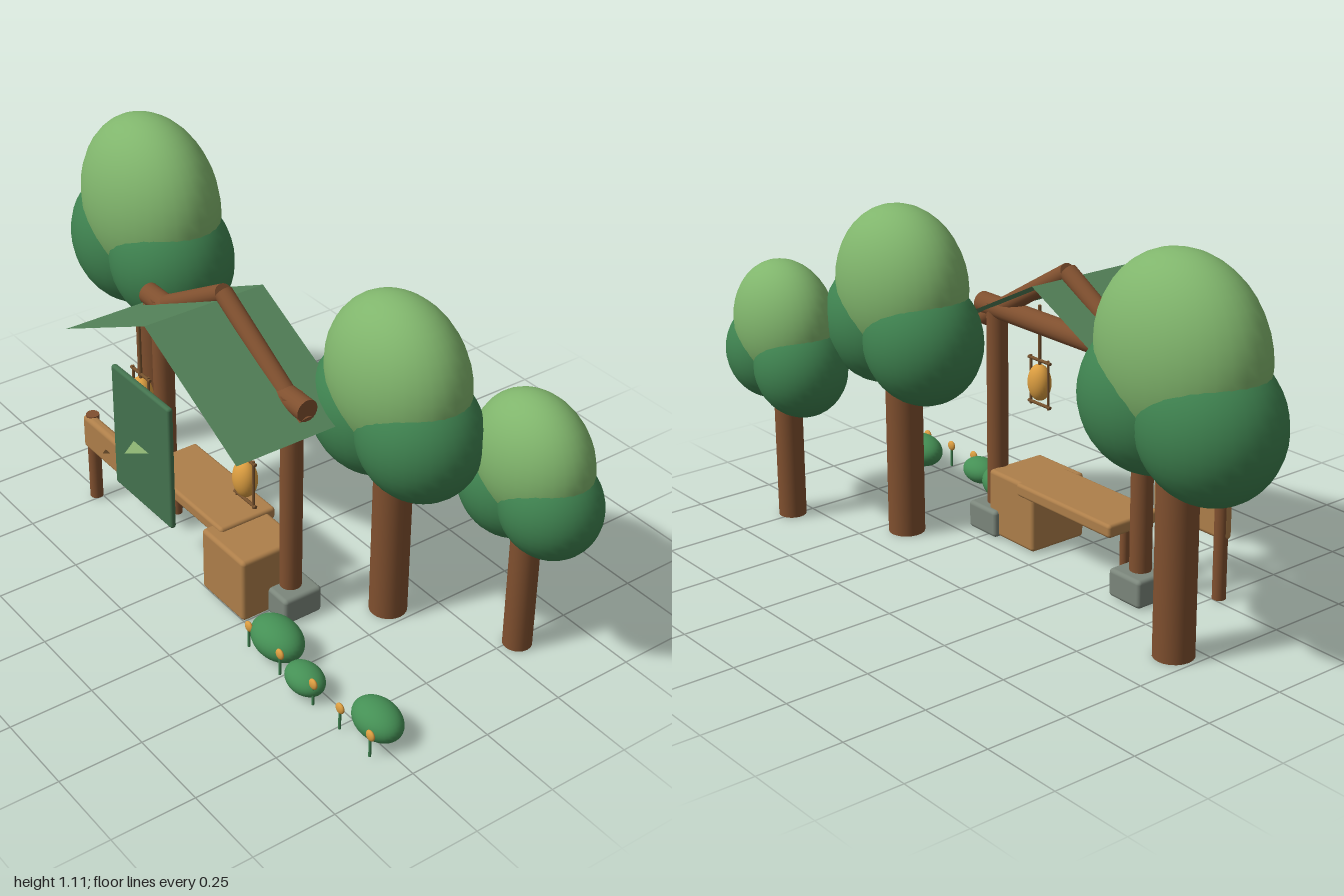
import * as THREE from 'three';
import { RoundedBoxGeometry } from 'three/addons/geometries/RoundedBoxGeometry.js';

const mat = (color, side = THREE.FrontSide) => new THREE.MeshStandardMaterial({ color, side });
const M = {
  bark: mat(0x80502f), leafLight: mat(0x80b56c), leafDark: mat(0x3f8350), bush: mat(0x459055),
  roof: mat(0x55845a, THREE.DoubleSide), banner: mat(0x44734f), emblem: mat(0x8fb573, THREE.DoubleSide),
  wood: mat(0xae7f4a), darkWood: mat(0x75512d), darkMark: mat(0x5a4022, THREE.DoubleSide),
  stone: mat(0x7c877c), lantern: mat(0xdb9d40),
};

export function createModel() {
  const root = new THREE.Group();
  const GX = -0.045; // middle of the gate

  const add = (parent, name, geometry, material, x = 0, y = 0, z = 0) => {
    const mesh = new THREE.Mesh(geometry, material);
    mesh.name = name;
    mesh.position.set(x, y, z);
    parent.add(mesh);
    return mesh;
  };
  const group = (name, x = 0, y = 0, z = 0) => {
    const g = new THREE.Group();
    g.name = name;
    g.position.set(x, y, z);
    root.add(g);
    return g;
  };
  const blob = (parent, name, material, x, y, z, rx, ry, rz) =>
    add(parent, name, new THREE.SphereGeometry(1, 32, 20), material, x, y, z).scale.set(rx, ry, rz);
  const box = (parent, name, material, x0, x1, y0, y1, z0, z1, r = 0.01) =>
    add(parent, name, new RoundedBoxGeometry(x1 - x0, y1 - y0, z1 - z0, 3, r), material,
      (x0 + x1) / 2, (y0 + y1) / 2, (z0 + z1) / 2);
  // Round pole between two points
  const pole = (parent, name, material, a, b, r) => {
    const A = new THREE.Vector3(...a), B = new THREE.Vector3(...b);
    const d = B.clone().sub(A);
    const mesh = add(parent, name, new THREE.CylinderGeometry(r, r, d.length(), 20), material);
    mesh.position.copy(A).add(B).multiplyScalar(0.5);
    mesh.quaternion.setFromUnitVectors(new THREE.Vector3(0, 1, 0), d.normalize());
  };
  // Flat horizontal triangle pointing forward
  const pennant = (parent, name, material, x, y, z, halfWidth, length) => {
    const s = new THREE.Shape();
    s.moveTo(-halfWidth, 0);
    s.lineTo(halfWidth, 0);
    s.lineTo(0, length);
    add(parent, name, new THREE.ShapeGeometry(s), material, x, y, z).rotation.x = Math.PI / 2;
  };

  // Trees: trunk, light crown and two darker lower clumps
  const trees = [
    { x: -0.68, z: -0.067, trunk: 0.058, cy: 0.85, r: 0.268, rz: 0.18, ly: 0.69, dx: 0.107, lr: 0.214 },
    { x: 0.433, z: -0.12, trunk: 0.055, cy: 0.78, r: 0.237, rz: 0.167, ly: 0.635, dx: 0.098, lr: 0.194 },
    { x: 0.762, z: -0.315, trunk: 0.042, cy: 0.625, r: 0.19, rz: 0.135, ly: 0.505, dx: 0.078, lr: 0.155 },
  ];
  for (const t of trees) {
    const g = group('tree', t.x, 0, t.z);
    pole(g, 'trunk', M.bark, [0, 0.005, 0], [0, t.cy - 0.05, 0], t.trunk);
    blob(g, 'crown', M.leafLight, 0, t.cy, 0, t.r, t.r, t.rz);
    blob(g, 'lowerLeavesRight', M.leafDark, -t.dx, t.ly, 0, t.lr, t.lr, t.rz);
    blob(g, 'lowerLeavesLeft', M.leafDark, t.dx, t.ly + 0.015, 0, t.lr - 0.005, t.lr - 0.005, t.rz);
  }

  // Gate: stones, posts, rafters and crossbeam
  const gate = group('gate', GX, 0, 0.105);
  for (const s of [-1, 1]) {
    box(gate, 'footStone', M.stone, s * 0.317 - 0.064, s * 0.317 + 0.064, 0.005, 0.09, -0.064, 0.064, 0.012);
    pole(gate, 'post', M.bark, [s * 0.317, 0.02, 0], [s * 0.317, 0.72, 0], 0.032);
    pole(gate, 'rafter', M.bark, [s * 0.375, 0.662, 0], [0, 0.882, 0], 0.027);
  }
  pole(gate, 'crossbeam', M.bark, [-0.385, 0.704, 0], [0.385, 0.704, 0], 0.033);

  // Cloth roof: two thin slopes meeting at the ridge
  const roof = group('roof', GX, 0, 0.167);
  const rise = 0.213, half = 0.425;
  for (const s of [-1, 1]) {
    const slope = new THREE.PlaneGeometry(Math.hypot(rise, half), 0.387);
    slope.rotateX(-Math.PI / 2);
    add(roof, 'roofSlope', slope, M.roof, s * half / 2, 0.652 + rise / 2, 0)
      .rotation.z = -s * Math.atan2(rise, half);
  }

  // Hanging banner with a small pennant
  const banner = group('banner');
  box(banner, 'bannerPanel', M.banner, -0.192, 0.096, 0.29, 0.682, 0.366, 0.384, 0.008);
  pennant(banner, 'bannerPennant', M.emblem, -0.048, 0.486, 0.38, 0.04, 0.057);

  // Lanterns hung in light frames
  for (const x of [-0.308, 0.212]) {
    const g = group('lantern', x, 0.462, 0.217);
    blob(g, 'lanternBody', M.lantern, 0, 0, 0, 0.04, 0.057, 0.033);
    pole(g, 'hangingRod', M.darkWood, [0, 0.05, 0], [0, 0.24, 0], 0.005);
    for (const s of [-1, 1]) {
      pole(g, 'frameUpright', M.darkWood, [s * 0.04, -0.077, 0], [s * 0.04, 0.077, 0], 0.004);
      pole(g, 'frameBar', M.darkWood, [-0.05, s * 0.069, 0], [0.05, s * 0.069, 0], 0.005);
    }
  }

  // Sign board, bench and crate
  const stall = group('stall');
  box(stall, 'signBoard', M.wood, -0.535, -0.246, 0.187, 0.3, 0.255, 0.29, 0.014);
  pennant(stall, 'boardMark', M.darkMark, -0.39, 0.245, 0.285, 0.018, 0.025);
  pole(stall, 'boardLeg', M.bark, [-0.514, 0.008, 0.265], [-0.514, 0.303, 0.265], 0.02);
  box(stall, 'benchTop', M.wood, -0.31, 0.1, 0.182, 0.222, 0.033, 0.222);
  pole(stall, 'benchLeg', M.bark, [-0.268, 0.03, 0.13], [-0.268, 0.19, 0.13], 0.014);
  box(stall, 'crate', M.wood, 0.05, 0.255, 0.008, 0.212, 0.056, 0.256, 0.012);

  // Bushes and flowers
  const garden = group('garden');
  blob(garden, 'bush', M.bush, 0.417, 0.062, 0.255, 0.092, 0.057, 0.065);
  blob(garden, 'bush', M.bush, 0.583, 0.048, 0.284, 0.067, 0.041, 0.049);
  blob(garden, 'bush', M.bush, 0.83, 0.057, 0.232, 0.083, 0.052, 0.06);
  for (const x of [0.345, 0.49, 0.64, 0.757, 0.885]) {
    pole(garden, 'flowerStem', M.leafDark, [x, 0.005, 0.3], [x, 0.07, 0.3], 0.004);
    blob(garden, 'flower', M.lantern, x, 0.075, 0.3, 0.016, 0.016, 0.008);
  }
  return root;
}
